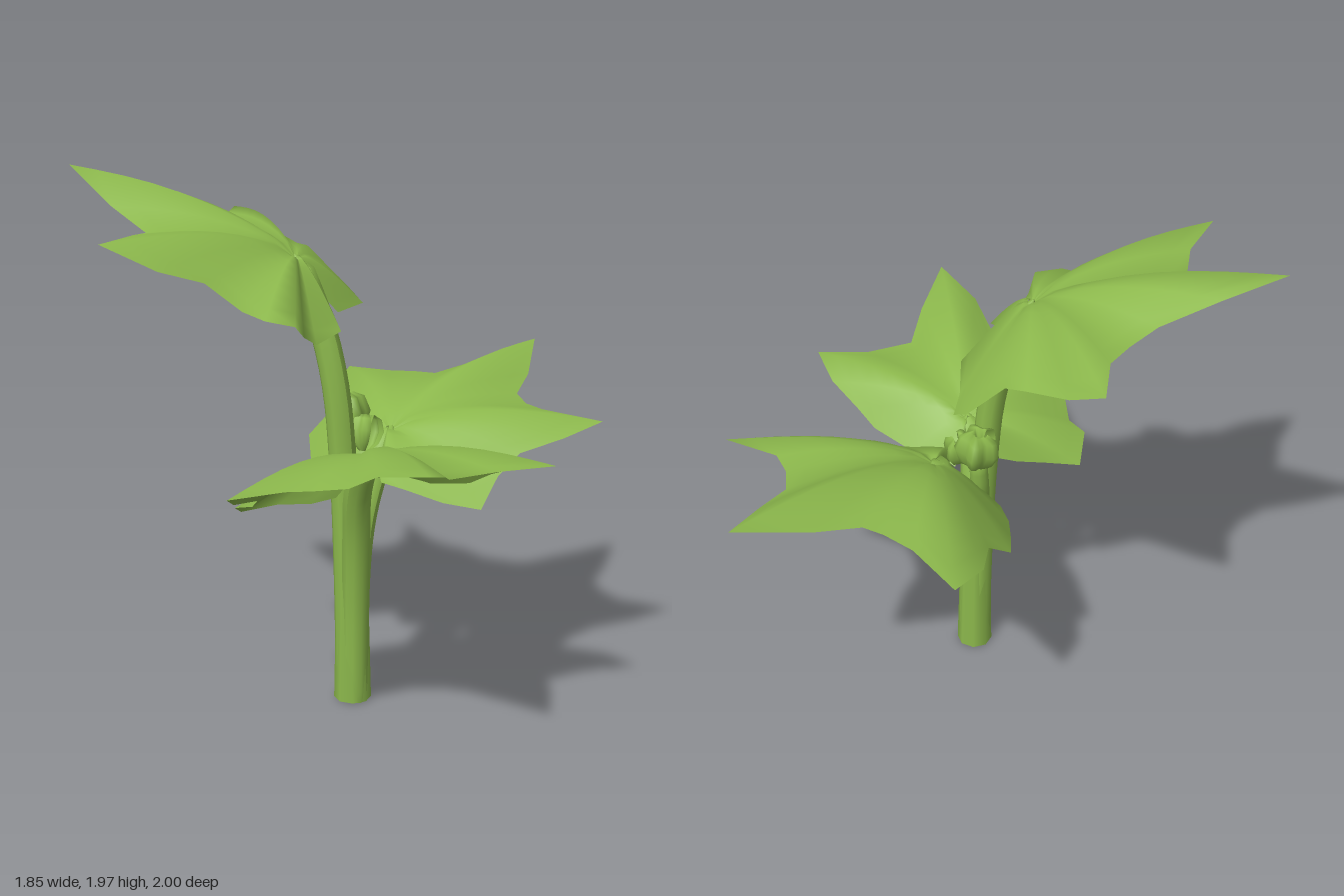
import * as THREE from 'three';

const leafGreen = new THREE.MeshStandardMaterial({ color: 0x8cb84c, side: THREE.DoubleSide });
leafGreen.name = 'leaf green';

// Lobed blade: rings of a star outline around the point where the stalk joins.
// The outline runs clockwise seen from above and stays open at the notch.
// Long lobes arch upward, and a small collar rises around the joint.
function leaf(name, center, outline, rings = 8) {
  const pos = [], idx = [], n = outline.length;
  for (let r = 0; r <= rings; r++) {
    const t = r / rings;
    outline.forEach((p) => {
      const length = Math.hypot(p[0] - center[0], p[2] - center[2]);
      const arch = 0.03 * Math.sin(Math.PI * Math.sqrt(t)) + 0.05 * length * Math.sin(Math.PI * t);
      const y = center[1] + (p[1] - center[1]) * t + arch;
      pos.push(center[0] + (p[0] - center[0]) * t, y, center[2] + (p[2] - center[2]) * t);
    });
  }
  for (let r = 0; r < rings; r++) {
    for (let i = 0; i < n - 1; i++) {
      const a = r * n + i, b = a + 1, c = a + n, d = c + 1;
      if (r > 0) idx.push(a, b, c);
      idx.push(b, d, c);
    }
  }
  const g = new THREE.BufferGeometry();
  g.setAttribute('position', new THREE.Float32BufferAttribute(pos, 3));
  g.setIndex(idx);
  g.computeVertexNormals();
  const m = new THREE.Mesh(g, leafGreen);
  m.name = name;
  return m;
}

// Round stalk along a curve, with its radius changing evenly and its tip closed.
function stalk(name, points, r0, r1) {
  const curve = new THREE.CatmullRomCurve3(points.map((p) => new THREE.Vector3(...p)));
  const n = 24, sides = 10;
  const g = new THREE.TubeGeometry(curve, n, 1, sides, false);
  const p = g.attributes.position, v = new THREE.Vector3();
  for (let i = 0; i <= n; i++) {
    const c = curve.getPointAt(i / n);
    const r = i === n ? 0.001 : r0 + (r1 - r0) * (i / n);
    for (let j = 0; j <= sides; j++) {
      const k = i * (sides + 1) + j;
      v.fromBufferAttribute(p, k).sub(c).multiplyScalar(r).add(c);
      p.setXYZ(k, v.x, v.y, v.z);
    }
  }
  g.computeVertexNormals();
  const m = new THREE.Mesh(g, leafGreen);
  m.name = name;
  return m;
}

// Curled young leaf: a small fluted cup, open on one side.
function curl(name, position, size, turn, lean) {
  const profile = [[0.02, 0], [0.06, 0.04], [0.08, 0.1], [0.065, 0.16], [0.03, 0.18], [0.02, 0.14]];
  const g = new THREE.LatheGeometry(profile.map((p) => new THREE.Vector2(...p)), 20, 0, Math.PI * 1.7);
  const p = g.attributes.position;
  for (let i = 0; i < p.count; i++) {
    const s = 1 + 0.18 * Math.sin(5 * Math.atan2(p.getZ(i), p.getX(i)));
    p.setXYZ(i, p.getX(i) * s, p.getY(i), p.getZ(i) * s);
  }
  g.computeVertexNormals();
  const m = new THREE.Mesh(g, leafGreen);
  m.name = name;
  m.position.set(...position);
  m.rotation.set(0, turn, lean);
  m.scale.setScalar(size);
  return m;
}

export function createModel() {
  const plant = new THREE.Group();
  plant.name = 'plant';

  // Shared lower stem
  const stem = new THREE.Mesh(new THREE.CylinderGeometry(0.055, 0.07, 0.65, 8), leafGreen);
  stem.name = 'lowerStem';
  stem.position.set(0.05, 0.325, 0.155);
  plant.add(stem);

  // Stalks rising from the stem and spreading to each leaf
  plant.add(
    stalk('tallStalk', [[0.04, 0, 0.16], [0.035, 0.5, 0.165], [0.02, 0.9, 0.17], [0, 1.2, 0.185],
      [-0.05, 1.43, 0.205], [-0.15, 1.68, 0.24]], 0.053, 0.049),
    stalk('frontStalk', [[0.065, 0, 0.16], [0.075, 0.4, 0.165], [0.1, 0.65, 0.185], [0.14, 0.83, 0.22],
      [0.215, 1, 0.255]], 0.052, 0.052),
    stalk('backStalk', [[0.06, 0, 0.145], [0.06, 0.45, 0.14], [0.06, 0.68, 0.11], [0.05, 0.84, 0.04],
      [0.04, 1.02, -0.075]], 0.05, 0.047),
    stalk('youngStalk', [[0.035, 0, 0.15], [0.03, 0.5, 0.145], [0, 0.7, 0.13], [-0.045, 0.88, 0.09],
      [-0.05, 1.04, 0.07]], 0.045, 0.035),
  );

  // Tall leaf
  plant.add(leaf('tallLeaf', [-0.14, 1.66, 0.24], [
    [-0.09, 1.58, 0.23], [0.03, 1.49, 0.23], [0.12, 1.44, 0.28], [0.12, 1.41, 0.4], [0.14, 1.45, 0.48],
    [0.2, 1.51, 0.58], [0.13, 1.53, 0.65], [0.03, 1.55, 0.66], [-0.09, 1.64, 0.72], [-0.15, 1.69, 0.87],
    [-0.29, 1.78, 1], [-0.38, 1.78, 0.78], [-0.5, 1.76, 0.63], [-0.68, 1.84, 0.64], [-0.93, 1.97, 0.63],
    [-0.82, 1.9, 0.44], [-0.68, 1.79, 0.3], [-0.66, 1.75, 0.19], [-0.7, 1.76, 0.06], [-0.83, 1.76, -0.09],
    [-0.66, 1.66, -0.08], [-0.48, 1.61, -0.1], [-0.41, 1.6, -0.13], [-0.3, 1.47, -0.2], [-0.23, 1.43, -0.2],
    [-0.17, 1.45, -0.12], [-0.05, 1.48, -0.01], [-0.06, 1.46, 0.11], [-0.11, 1.57, 0.2],
  ]));

  // Back leaf
  plant.add(leaf('backLeaf', [0.04, 1, -0.06], [
    [0.02, 0.95, -0.02], [-0.04, 0.84, 0.09], [-0.12, 0.8, 0.13], [-0.2, 0.79, 0.1], [-0.32, 0.84, 0],
    [-0.43, 0.89, -0.1], [-0.42, 0.96, -0.2], [-0.54, 1.01, -0.33], [-0.61, 1.07, -0.52], [-0.38, 1.09, -0.51],
    [-0.26, 1.1, -0.54], [-0.18, 1.1, -0.57], [-0.12, 1.13, -0.74], [-0.01, 1.2, -1], [0.13, 1.11, -0.78],
    [0.2, 1.07, -0.62], [0.3, 1.06, -0.55], [0.4, 1.06, -0.52], [0.63, 1.04, -0.59], [0.58, 1, -0.42],
    [0.5, 0.96, -0.26], [0.48, 0.89, -0.16], [0.51, 0.8, -0.03], [0.4, 0.82, 0.05], [0.28, 0.86, 0.12],
    [0.2, 0.88, 0.16], [0.12, 0.9, 0.09], [0.06, 0.95, 0],
  ]));

  // Front leaf
  plant.add(leaf('frontLeaf', [0.2, 0.98, 0.24], [
    [0.16, 0.95, 0.2], [0.11, 0.87, 0.1], [0.18, 0.87, 0.1], [0.3, 0.87, 0.04], [0.48, 0.9, 0],
    [0.57, 0.95, -0.01], [0.72, 1.01, -0.02], [0.88, 1.05, 0.03], [0.76, 1.04, 0.19], [0.7, 1.04, 0.37],
    [0.8, 1.1, 0.51], [0.92, 1.17, 0.72], [0.69, 1.12, 0.71], [0.53, 1.04, 0.67], [0.42, 1.02, 0.72],
    [0.36, 1.02, 0.79], [0.29, 1.02, 0.98], [0.2, 0.96, 0.87], [0.13, 0.92, 0.7], [0.05, 0.87, 0.65],
    [-0.03, 0.85, 0.66], [-0.12, 0.79, 0.55], [-0.04, 0.81, 0.44], [0.04, 0.81, 0.36], [0.1, 0.83, 0.29],
    [0.16, 0.92, 0.25],
  ]));

  // Curled young leaves in the middle
  plant.add(
    curl('largeYoungLeaf', [-0.05, 0.98, 0.06], 0.95, 0, 0.15),
    curl('smallYoungLeaf', [0.04, 0.95, 0.08], 0.75, 2, -0.3),
  );

  return plant;
}
